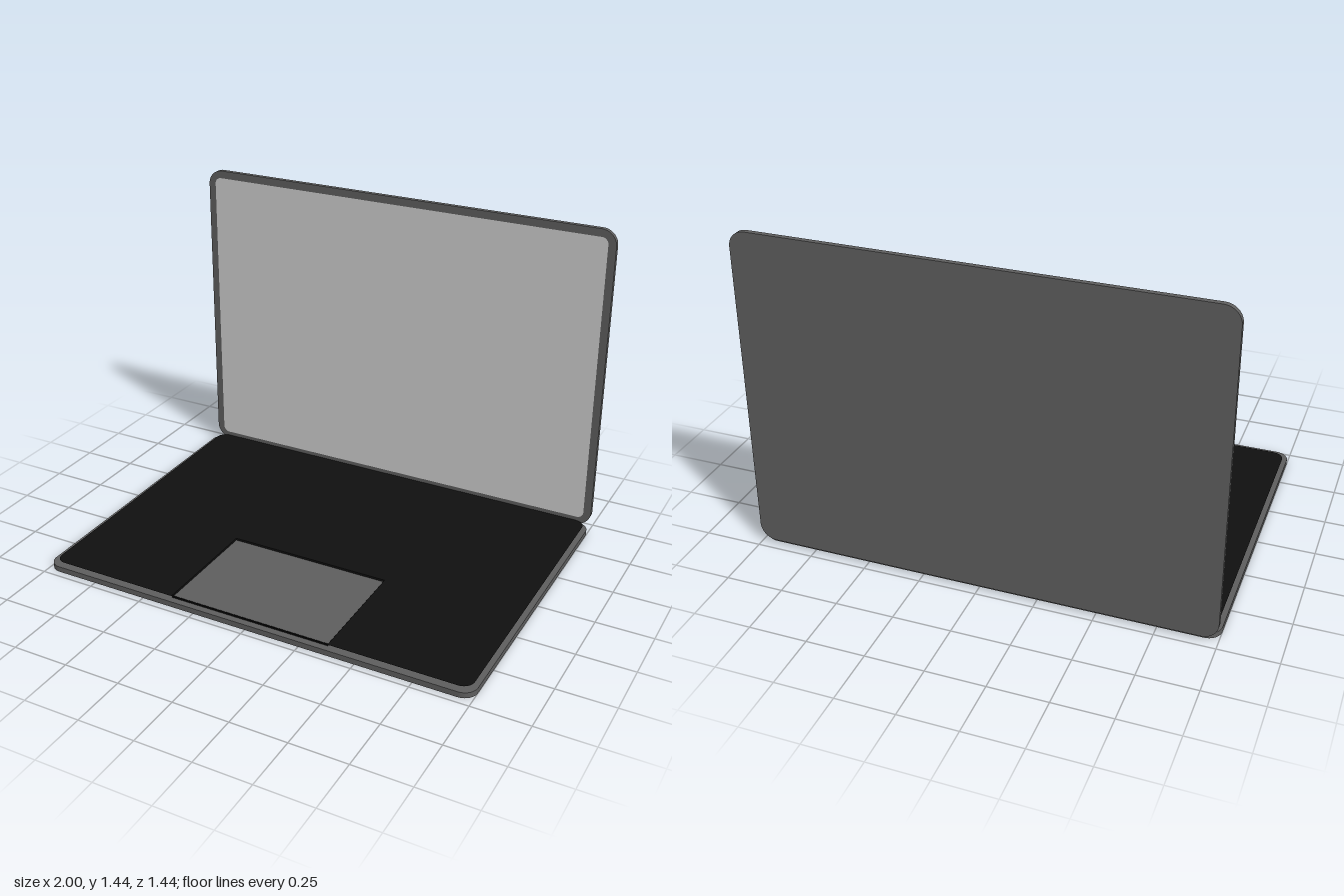
import * as THREE from 'three';

const metal = new THREE.MeshStandardMaterial({ color: 0x5e5e5e });
const black = new THREE.MeshStandardMaterial({ color: 0x101010, side: THREE.DoubleSide });
const grey = new THREE.MeshStandardMaterial({ color: 0xcccccc, side: THREE.DoubleSide });

// Rounded rectangle centred on the origin
function roundedRect(w, h, r) {
  const x = w / 2, y = h / 2, s = new THREE.Shape();
  s.absarc(x - r, y - r, r, 0, Math.PI / 2);
  s.absarc(-x + r, y - r, r, Math.PI / 2, Math.PI);
  s.absarc(-x + r, -y + r, r, Math.PI, Math.PI * 1.5);
  s.absarc(x - r, -y + r, r, Math.PI * 1.5, Math.PI * 2);
  s.closePath();
  return s;
}

function slab(w, h, r, depth) {
  return new THREE.ExtrudeGeometry(roundedRect(w, h, r), { depth, bevelEnabled: false, curveSegments: 10 });
}

function addPart(parent, name, geometry, material, x = 0, y = 0, z = 0) {
  const mesh = new THREE.Mesh(geometry, material);
  mesh.name = name;
  mesh.position.set(x, y, z);
  parent.add(mesh);
  return mesh;
}

export function createModel() {
  const model = new THREE.Group();
  model.name = 'laptop';

  // Base slab
  addPart(model, 'base', slab(2, 1.42, 0.06, 0.025).rotateX(-Math.PI / 2), metal, 0, 0, 0.01);

  // Upright lid and screen
  const lid = new THREE.Group();
  lid.name = 'lid';
  lid.position.set(0, 0.73, -0.72);
  addPart(lid, 'lidShell', slab(2, 1.42, 0.07, 0.022), metal);
  addPart(lid, 'screen', new THREE.ShapeGeometry(roundedRect(1.93, 1.35, 0.03), 10), grey, 0, 0, 0.0235);
  model.add(lid);

  // Thin keyboard deck, slightly tilted, cut open above the trackpad
  const padW = 0.74, padBack = 0.17, padFront = 0.69;
  const deckShape = roundedRect(1.96, 1.39, 0.05);
  const hole = new THREE.Path();
  hole.moveTo(-padW / 2, -padFront);
  hole.lineTo(-padW / 2, -padBack);
  hole.lineTo(padW / 2, -padBack);
  hole.lineTo(padW / 2, -padFront);
  hole.closePath();
  deckShape.holes.push(hole);
  const deck = addPart(model, 'keyboardDeck', new THREE.ShapeGeometry(deckShape, 10).rotateX(-Math.PI / 2), black, 0, 0.036, 0);
  deck.rotation.x = 0.002;

  // Walls of the trackpad recess
  const wallH = 0.011, wallY = 0.025 + wallH / 2, padD = padFront - padBack;
  for (const side of [-1, 1]) {
    addPart(model, side > 0 ? 'leftRecessWall' : 'rightRecessWall',
      new THREE.PlaneGeometry(padD, wallH).rotateY(Math.PI / 2), black, side * padW / 2, wallY, (padFront + padBack) / 2);
  }
  for (const [name, z] of [['backRecessWall', padBack], ['frontRecessWall', padFront]]) {
    addPart(model, name, new THREE.PlaneGeometry(padW, wallH), black, 0, wallY, z);
  }

  // Trackpad at the bottom of the recess
  addPart(model, 'trackpad', new THREE.PlaneGeometry(padW, padD).rotateX(-Math.PI / 2), metal, 0, 0.0262, (padFront + padBack) / 2);

  return model;
}
